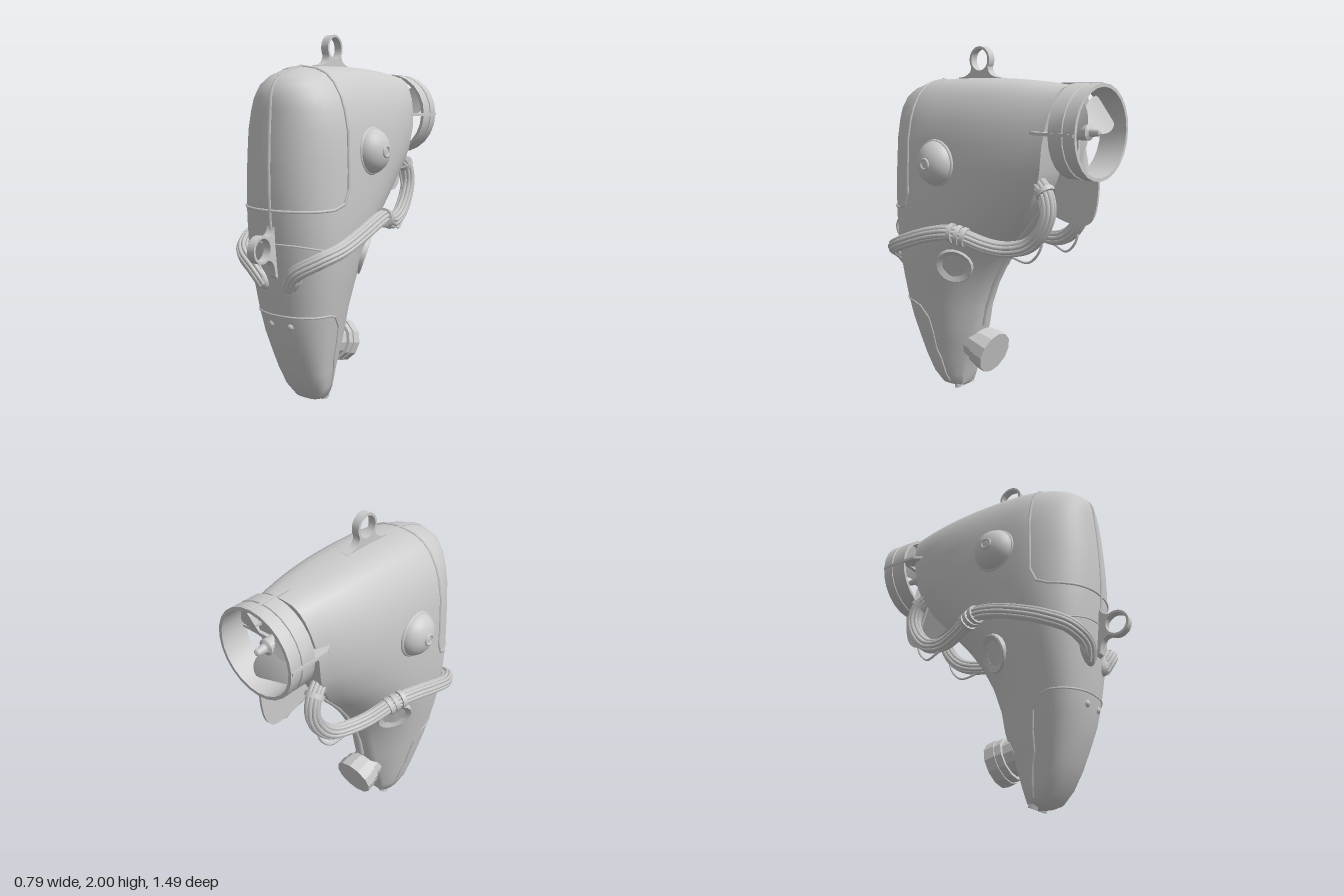
import * as THREE from 'three';
import { toCreasedNormals } from 'three/addons/utils/BufferGeometryUtils.js';

const V = (x, y, z) => new THREE.Vector3(x, y, z);
const grey = new THREE.MeshStandardMaterial({ color: 0xcccccc });
const thin = new THREE.MeshStandardMaterial({ color: 0xcccccc, side: THREE.DoubleSide });

// Body levels: height, front z, back z, half width, back width fraction
const LEVELS = [
  [0.01, 0.27, 0.17, 0.05, 0.7], [0.03, 0.31, 0.155, 0.09, 0.6], [0.1, 0.365, 0.135, 0.125, 0.5],
  [0.2, 0.42, 0.105, 0.147, 0.42], [0.3, 0.46, 0.065, 0.17, 0.35], [0.42, 0.505, 0.025, 0.195, 0.27],
  [0.54, 0.53, 0, 0.22, 0.22], [0.68, 0.55, -0.05, 0.248, 0.2], [0.8, 0.567, -0.11, 0.27, 0.22],
  [0.92, 0.58, -0.19, 0.287, 0.28], [1.05, 0.59, -0.3, 0.3, 0.38], [1.18, 0.597, -0.41, 0.304, 0.48],
  [1.3, 0.597, -0.48, 0.306, 0.57], [1.37, 0.595, -0.505, 0.305, 0.62], [1.5, 0.588, -0.525, 0.301, 0.67],
  [1.6, 0.58, -0.54, 0.282, 0.68], [1.66, 0.575, -0.55, 0.259, 0.69], [1.72, 0.555, -0.558, 0.22, 0.7],
  [1.76, 0.505, -0.565, 0.18, 0.7], [1.785, 0.43, -0.57, 0.132, 0.7], [1.795, 0.36, -0.574, 0.08, 0.7],
  [1.8, 0.32, -0.576, 0, 0.7],
];
function levelAt(y) {
  let i = 0;
  while (i < LEVELS.length - 2 && y > LEVELS[i + 1][0]) i++;
  const a = LEVELS[i], b = LEVELS[i + 1];
  const k = THREE.MathUtils.clamp((y - a[0]) / (b[0] - a[0]), 0, 1);
  return a.map((v, j) => v + (b[j] - v) * k);
}
const FRONT = 0.35, POW = 0.88;
// Point on the body; u runs 0 (front middle) - 1 (widest) - 2 (back corner)
function surf(y, u, side = 1) {
  const [, zf, zb, w, b] = levelAt(y);
  let t, f;
  if (u <= 1) {
    const a = u * Math.PI / 2;
    f = Math.sin(a) ** POW;
    t = FRONT * (1 - Math.max(0, Math.cos(a)) ** POW);
  } else {
    f = 1 - (1 - b) * (u - 1) ** 2.7;
    t = FRONT + (1 - FRONT) * (u - 1);
  }
  const z = zf + (zb - zf) * t;
  const crown = 0.033 * THREE.MathUtils.smoothstep(y, 1.55, 1.8) * (1 - Math.min(1, (z / 0.55) ** 2));
  return V(side * w * f, y + crown, z);
}
function uAt(y, z) {
  const [, zf, zb] = levelAt(y);
  const t = THREE.MathUtils.clamp((zf - z) / (zf - zb), 0, 1);
  return t < FRONT ? Math.acos((1 - t / FRONT) ** (1 / POW)) / (Math.PI / 2) : 1 + (t - FRONT) / (1 - FRONT);
}

function bodyGeometry() {
  const half = 24, n = 2 * half + 1, pos = [], idx = [];
  for (const [y] of LEVELS)
    for (let k = -half; k <= half; k++) pos.push(...surf(y, Math.abs(k) / half * 2, Math.sign(k)).toArray());
  for (let i = 0; i < LEVELS.length - 1; i++)
    for (let k = 0; k < n; k++) {
      const a = i * n + k, b = i * n + (k + 1) % n;
      idx.push(a, b, b + n, a, b + n, a + n);
    }
  pos.push(0, 0.003, 0.22);
  for (let k = 0; k < n; k++) idx.push(LEVELS.length * n, (k + 1) % n, k);
  const g = new THREE.BufferGeometry();
  g.setAttribute('position', new THREE.Float32BufferAttribute(pos, 3));
  g.setIndex(idx);
  return toCreasedNormals(g, 0.75);
}

export function createModel() {
  const root = new THREE.Group();
  const add = (name, geo, p = [0, 0, 0], r = [0, 0, 0], mat = grey, parent = root) => {
    const m = new THREE.Mesh(geo, mat);
    m.name = name;
    m.position.set(...p);
    m.rotation.set(...r);
    parent.add(m);
    return m;
  };
  const tube = (name, pts, r, seg = 60, sides = 6) =>
    add(name, new THREE.TubeGeometry(new THREE.CatmullRomCurve3(pts), seg, r, sides));
  const lathe = (pts, seg) => toCreasedNormals(new THREE.LatheGeometry(pts.map(p => new THREE.Vector2(...p)), seg), 0.6);
  const aim = (m, dir) => m.quaternion.setFromUnitVectors(V(0, 1, 0), dir.clone().normalize());
  // Seam through [y, z] points laid on the body
  const seam = (name, yz, side, r = 0.006) => {
    const pts = [], at = (y, z) => surf(y, uAt(y, z), side);
    for (let i = 0; i < yz.length - 1; i++)
      for (let k = 0; k < 6; k++)
        pts.push(at(yz[i][0] + (yz[i + 1][0] - yz[i][0]) * k / 6, yz[i][1] + (yz[i + 1][1] - yz[i][1]) * k / 6));
    pts.push(at(...yz[yz.length - 1]));
    tube(name, pts, r, 120, 5);
  };

  add('body', bodyGeometry());

  // Face plate ridge and rear spine
  const ridge = [];
  for (let y = 0.98; y < 1.8; y += 0.04) ridge.push(surf(y, 0));
  ridge.push(V(0, 1.825, 0.32));
  tube('facePlateRidge', ridge, 0.009, 60, 5);
  tube('rearSpine', [0.42, 0.54, 0.68, 0.8, 0.92, 1.05, 1.18].map(y => V(0, y, levelAt(y)[2])), 0.018, 40, 6);

  // Lifting rings with flared feet
  const eyelet = new THREE.Shape();
  eyelet.moveTo(-0.165, -0.115);
  eyelet.lineTo(-0.15, -0.096);
  eyelet.quadraticCurveTo(-0.06, -0.09, -0.06, -0.036);
  eyelet.absarc(0, 0, 0.071, Math.PI + 0.54, -0.54, true);
  eyelet.quadraticCurveTo(0.06, -0.09, 0.15, -0.096);
  eyelet.lineTo(0.165, -0.115);
  const hole = new THREE.Path();
  hole.absarc(0, 0, 0.058, 0, Math.PI * 2, false);
  eyelet.holes.push(hole);
  const eyeletGeo = new THREE.ExtrudeGeometry(eyelet, { depth: 0.044, bevelEnabled: false, curveSegments: 20 });
  eyeletGeo.translate(0, 0, -0.022).rotateY(Math.PI / 2);
  add('topRing', eyeletGeo, [0, 1.929, 0.04]);
  add('frontRing', eyeletGeo, [0, 0.915, 0.676], [Math.PI / 2, 0, 0]);

  for (const s of [1, -1]) {
    seam('facePlateSeam', [[1.1, 0.594], [1.1, 0.57], [1.1, 0.5], [1.105, 0.42], [1.13, 0.36], [1.2, 0.33], [1.5, 0.325],
      [1.66, 0.325], [1.72, 0.325], [1.76, 0.325], [1.785, 0.325], [1.795, 0.325], [1.8, 0.319]], s, 0.008);
    seam('browSeam', [[0.93, 0.581], [0.927, 0.56], [0.9, 0.46], [0.87, 0.4]], s, 0.005);
    seam('noseSeam', [[0.545, 0.531], [0.545, 0.51], [0.543, 0.38], [0.525, 0.33], [0.46, 0.28], [0.36, 0.265],
      [0.26, 0.26], [0.2, 0.24], [0.05, 0.215]], s);
    add('noseRivet', new THREE.SphereGeometry(0.021, 12, 8), [s * 0.06, 0.49, 0.505]);

    // Domed eye
    const eye = new THREE.Group();
    eye.name = 'eye';
    eye.position.set(s * 0.295, 1.385, 0.105);
    root.add(eye);
    add('eyeDome', new THREE.SphereGeometry(0.12, 28, 18), [0, 0, 0], [0, 0, 0], grey, eye).scale.x = 0.78;
    add('eyeRim', new THREE.TorusGeometry(0.117, 0.011, 8, 32), [s * 0.006, 0, 0], [0, Math.PI / 2, 0], grey, eye);
    add('pupilRim', new THREE.TorusGeometry(0.027, 0.008, 8, 20), [s * 0.09, 0, 0], [0, Math.PI / 2, 0], grey, eye);

    // Side port: sloping lip and inset disc square to the surface
    const u = uAt(0.81, 0.055), c = surf(0.81, u, s);
    const n = surf(0.81, u + 0.05, s).sub(surf(0.81, u - 0.05, s))
      .cross(surf(0.86, u, s).sub(surf(0.76, u, s))).normalize();
    if (n.x * s < 0) n.negate();
    const port = add('sidePort', lathe([[0.07, -0.06], [0.106, -0.06], [0.106, 0.008], [0.1, 0.014], [0.07, 0], [0.07, -0.06]], 18), c.toArray());
    aim(port, n);
    add('portDisc', new THREE.CylinderGeometry(0.072, 0.072, 0.05, 18), [0, -0.026, 0], [0, 0, 0], grey, port);

    // Hose made of bundled strands
    const path = new THREE.CatmullRomCurve3([
      [0.08, 0.71, 0.54], [0.13, 0.785, 0.56], [0.235, 0.85, 0.52], [0.305, 0.9, 0.41], [0.326, 0.96, 0.25],
      [0.322, 1, 0.12], [0.305, 1.02, 0], [0.28, 1.005, -0.07], [0.235, 0.965, -0.2], [0.2, 0.955, -0.3],
      [0.175, 0.985, -0.42], [0.165, 1.06, -0.5], [0.16, 1.17, -0.545], [0.155, 1.26, -0.525], [0.14, 1.32, -0.46],
    ].map(p => V(s * p[0], p[1], p[2])));
    const seg = 60, fr = path.computeFrenetFrames(seg);
    for (let j = 0; j < 9; j++) {
      const a = j / 9 * Math.PI * 2, pts = [];
      for (let i = 0; i <= seg; i++)
        pts.push(path.getPointAt(i / seg).addScaledVector(fr.normals[i], 0.03 * Math.cos(a))
          .addScaledVector(fr.binormals[i], 0.03 * Math.sin(a)));
      tube('hoseStrand', pts, 0.0125, 90, 6);
    }
    for (const at of [0.485, 0.508, 0.53, 0.955]) {
      const collar = add('hoseCollar', new THREE.CylinderGeometry(0.052, 0.052, 0.024, 14), path.getPointAt(at).toArray());
      aim(collar, path.getTangentAt(at));
    }
    const plug = add('hosePlug', new THREE.SphereGeometry(0.05, 14, 10), [s * 0.1, 0.745, 0.54]);
    plug.scale.set(0.95, 1.5, 0.9);
    plug.rotation.z = -s * 0.6;
    tube('looseWire', [[0.2, 0.97, -0.18], [0.19, 0.92, -0.33], [0.17, 0.9, -0.43], [0.16, 0.98, -0.5],
      [0.15, 1.12, -0.5], [0.14, 1.27, -0.46]].map(p => V(s * p[0], p[1], p[2])), 0.007, 40, 5);

    // Horizontal side fin
    const fin = new THREE.Shape([[0.17, 0.45], [0.21, 0.45], [0.245, 0.51], [0.245, 0.74], [0.225, 0.74], [0.225, 0.6], [0.17, 0.58]]
      .map(p => new THREE.Vector2(s * p[0], p[1])));
    add('sideFin', new THREE.ExtrudeGeometry(fin, { depth: 0.016, bevelEnabled: false }), [0, 1.56, 0], [-Math.PI / 2, 0, 0], thin);
    add('tailNut', new THREE.CylinderGeometry(0.028, 0.028, 0.055, 6), [s * 0.045, 0.031, 0.19], [0.35, 0, 0]);
  }

  // Propeller shroud and axle
  const fan = new THREE.Group();
  fan.name = 'propeller';
  fan.position.set(0, 1.57, 0);
  root.add(fan);
  const shroud = [[0.222, -0.745], [0.24, -0.745], [0.24, -0.685], [0.234, -0.683], [0.234, -0.672],
    [0.24, -0.67], [0.24, -0.59], [0.222, -0.59], [0.222, -0.745]];
  add('shroud', lathe(shroud, 24), [0, 0, 0], [Math.PI / 2, 0, 0], thin, fan);
  const axle = [[0, -0.74], [0.016, -0.73], [0.024, -0.68], [0.042, -0.67], [0.042, -0.61], [0.024, -0.6],
    [0.024, -0.58], [0.04, -0.565], [0.04, -0.5]];
  add('axle', lathe(axle, 14), [0, 0, 0], [Math.PI / 2, 0, 0], thin, fan);

  // Broad twisted blades
  for (let i = 0; i < 3; i++) {
    const g = new THREE.PlaneGeometry(1, 0.18, 4, 6), p = g.attributes.position;
    for (let k = 0; k < p.count; k++) {
      const r = 0.12 + p.getY(k), e = r / 0.21, a = 0.85 - 0.4 * e;
      const w = p.getX(k) * (0.04 + 0.17 * Math.sin(Math.min(1, e) * 2.1));
      p.setXYZ(k, w * Math.cos(a), r, -0.645 + w * Math.sin(a) * 0.7);
    }
    g.computeVertexNormals();
    add('blade', g, [0, 0, 0], [0, 0, Math.PI / 3 + i * Math.PI * 2 / 3], thin, fan);
  }
  // Spokes holding the axle
  add('crossSpoke', new THREE.BoxGeometry(0.46, 0.014, 0.02), [0, 0, -0.6], [0, 0, 0], grey, fan);
  add('uprightSpoke', new THREE.BoxGeometry(0.014, 0.46, 0.02), [0, 0, -0.6], [0, 0, 0], grey, fan);
  add('topFin', new THREE.BoxGeometry(0.014, 0.022, 0.24), [0, 1.8, -0.62]);

  // Keel fin below the shroud
  const keel = new THREE.Shape();
  keel.moveTo(0.38, 1.17);
  keel.lineTo(0.48, 1.4);
  keel.quadraticCurveTo(0.56, 1.38, 0.6, 1.34);
  keel.lineTo(0.735, 1.335);
  keel.quadraticCurveTo(0.74, 1.1, 0.64, 1.095);
  keel.quadraticCurveTo(0.52, 1.09, 0.38, 1.17);
  const keelGeo = new THREE.ExtrudeGeometry(keel, { depth: 0.014, bevelEnabled: false, curveSegments: 10 });
  add('keelFin', keelGeo, [-0.007, 0, 0], [0, Math.PI / 2, 0], thin);

  // Filler cap on the lower back
  const axis = V(0, -0.256, -0.967);
  for (const [name, r, h, y, z] of [['capNeck', 0.1, 0.12, 0.29, 0.04], ['capCollar', 0.118, 0.05, 0.285, 0.015],
    ['capLid', 0.125, 0.06, 0.274, -0.028]])
    aim(add(name, toCreasedNormals(new THREE.CylinderGeometry(r, r, h, 12), 0.4), [0, y, z]), axis);
  return root;
}
